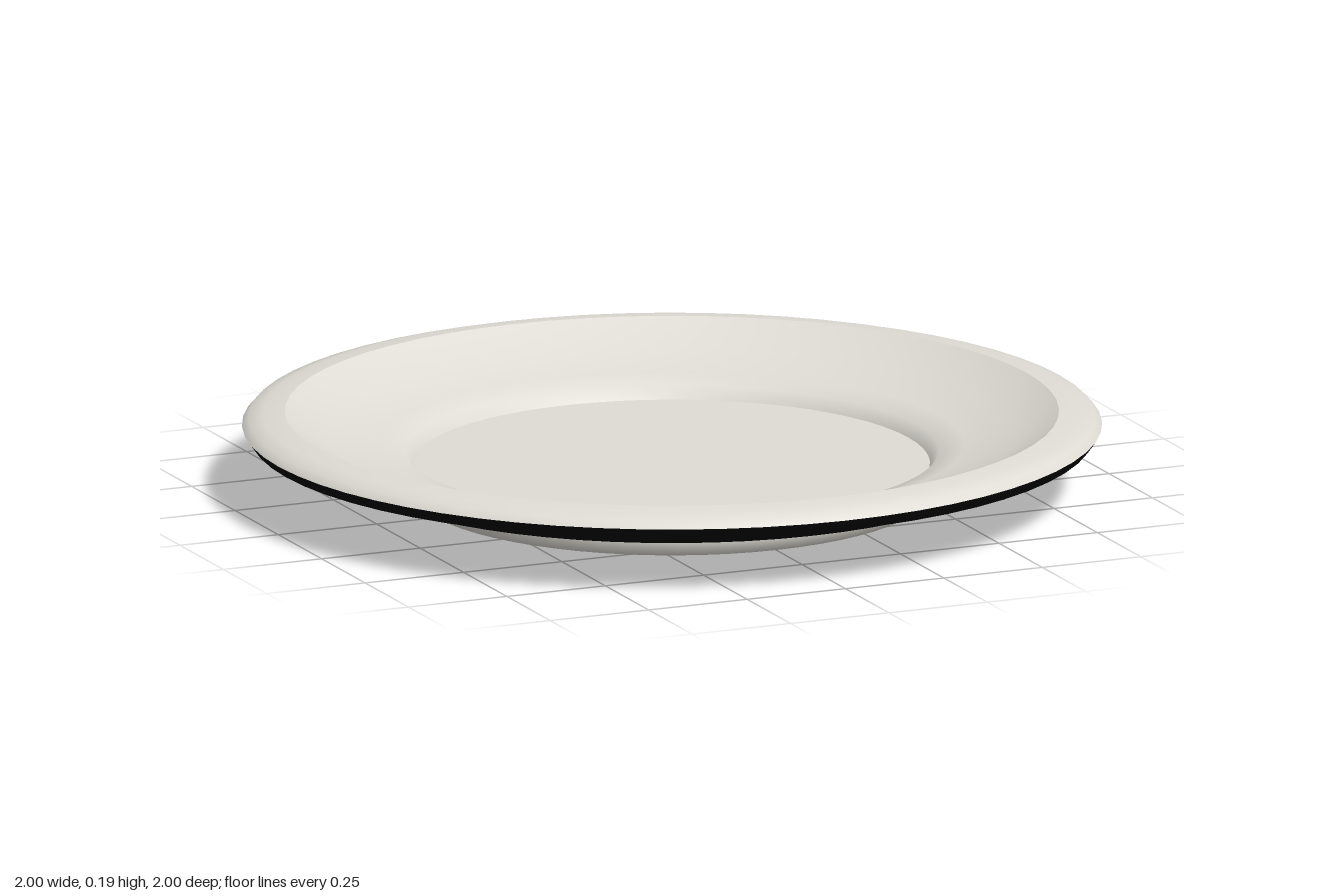
import * as THREE from 'three';

const SEGMENTS = 64;

export function createModel() {
  const group = new THREE.Group();
  group.name = 'plate';

  const glaze = new THREE.MeshStandardMaterial({ color: 0xdedcd4 });
  glaze.name = 'off-white glaze';
  const dark = new THREE.MeshStandardMaterial({ color: 0x050505 });
  dark.name = 'black underside';

  // Profiles run from the centre of the base, outwards, up and back in,
  // so that every turned surface faces outwards.
  const turn = (name, material, profile) => {
    const points = profile.map(([r, y]) => new THREE.Vector2(r, y));
    const mesh = new THREE.Mesh(new THREE.LatheGeometry(points, SEGMENTS), material);
    mesh.name = name;
    group.add(mesh);
  };

  // Base inside the foot ring
  turn('baseDisc', dark, [[0, 0.035], [0.54, 0.035]]);

  // Foot ring the plate stands on
  turn('footRing', glaze, [[0.54, 0.035], [0.545, 0], [0.6, 0], [0.6, 0.035]]);

  // Stepped underside up to the edge of the rim
  turn('underside', dark, [
    [0.6, 0.035], [0.605, 0.055], [0.62, 0.08], [0.8, 0.08],
    [0.9, 0.135], [0.98, 0.135], [1, 0.163],
  ]);

  // Rounded rim
  turn('rim', glaze, [[1, 0.163], [0.985, 0.18], [0.95, 0.19], [0.9, 0.195]]);

  // Sloping wall between the rim and the floor
  turn('wall', glaze, [
    [0.9, 0.195], [0.8, 0.14], [0.68, 0.115], [0.62, 0.1], [0.6, 0.07],
  ]);

  // Flat floor
  turn('floor', glaze, [[0.6, 0.07], [0, 0.07]]);

  return group;
}
